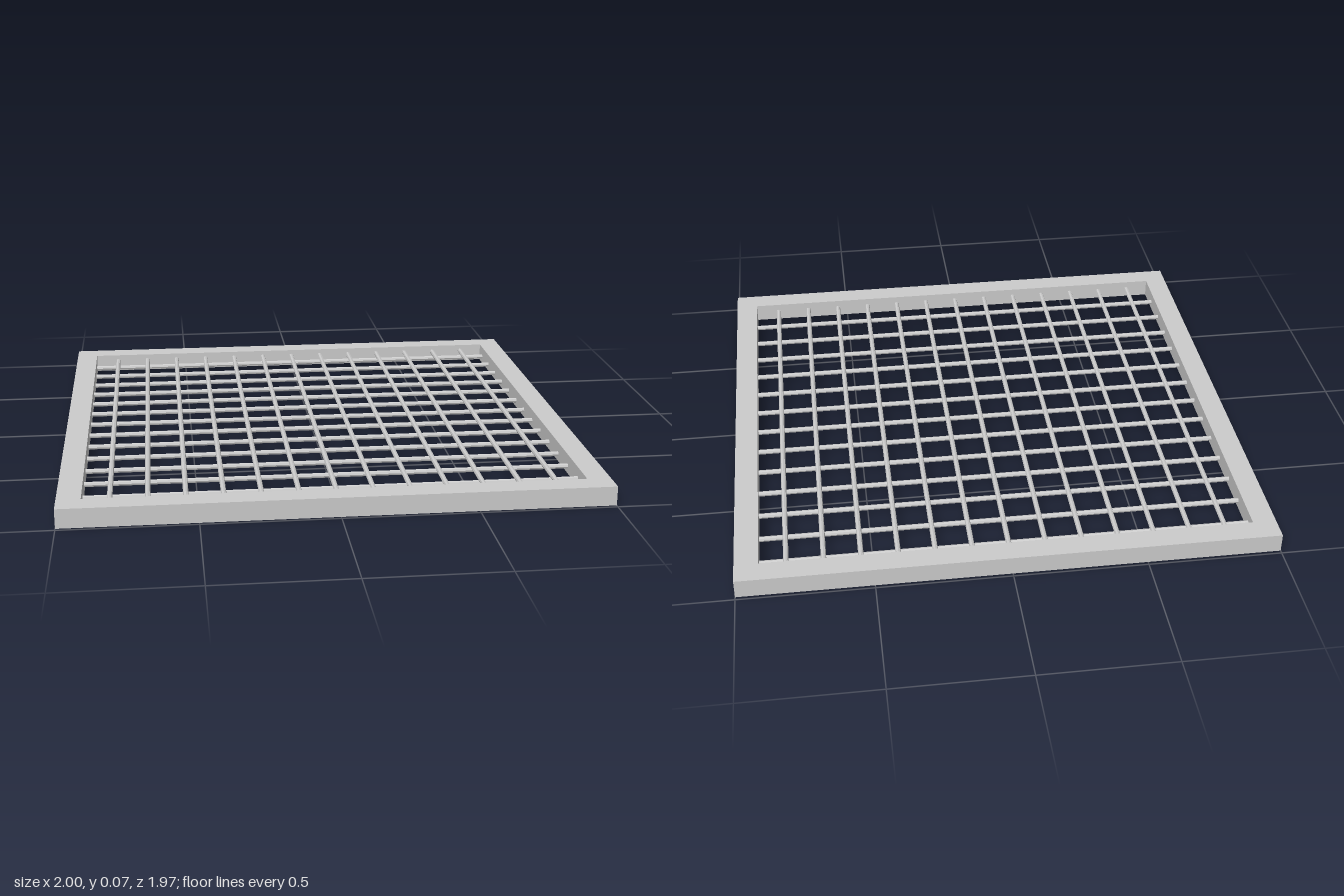
import * as THREE from 'three';

export function createModel() {
  const model = new THREE.Group();
  model.name = 'grate';
  const material = new THREE.MeshStandardMaterial({ color: 0xcccccc, flatShading: true });

  const halfX = 1, halfZ = 0.987, height = 0.073, width = 0.088;
  const add = (geometry, name, x, y, z) => {
    const mesh = new THREE.Mesh(geometry, material);
    mesh.name = name;
    mesh.position.set(x, y, z);
    model.add(mesh);
    return mesh;
  };

  // Frame: full-length side rails with end rails butted between them
  const sideRail = new THREE.BoxGeometry(width, height, 2 * halfZ);
  const endRail = new THREE.BoxGeometry(2 * (halfX - width), height, width);
  for (const s of [-1, 1]) {
    add(sideRail, s > 0 ? 'leftRail' : 'rightRail', s * (halfX - width / 2), height / 2, 0);
    add(endRail, s > 0 ? 'frontRail' : 'backRail', 0, height / 2, s * (halfZ - width / 2));
  }

  // Mesh of round rods: lengthwise rods rest on the crosswise ones
  const count = 13, pitch = 0.1357, radius = 0.01;
  const backEnd = -0.92, frontEnd = 0.885;
  const crossRod = new THREE.CylinderGeometry(radius, radius, 1.84, 8).rotateZ(Math.PI / 2);
  const longRod = new THREE.CylinderGeometry(radius, radius, frontEnd - backEnd, 8).rotateX(Math.PI / 2);
  for (let i = 0; i < count; i++) {
    const offset = (i - (count - 1) / 2) * pitch;
    add(crossRod, 'crossRod', 0, 0.028, offset - 0.033);
    add(longRod, 'longRod', offset, 0.046, (backEnd + frontEnd) / 2);
  }

  return model;
}
